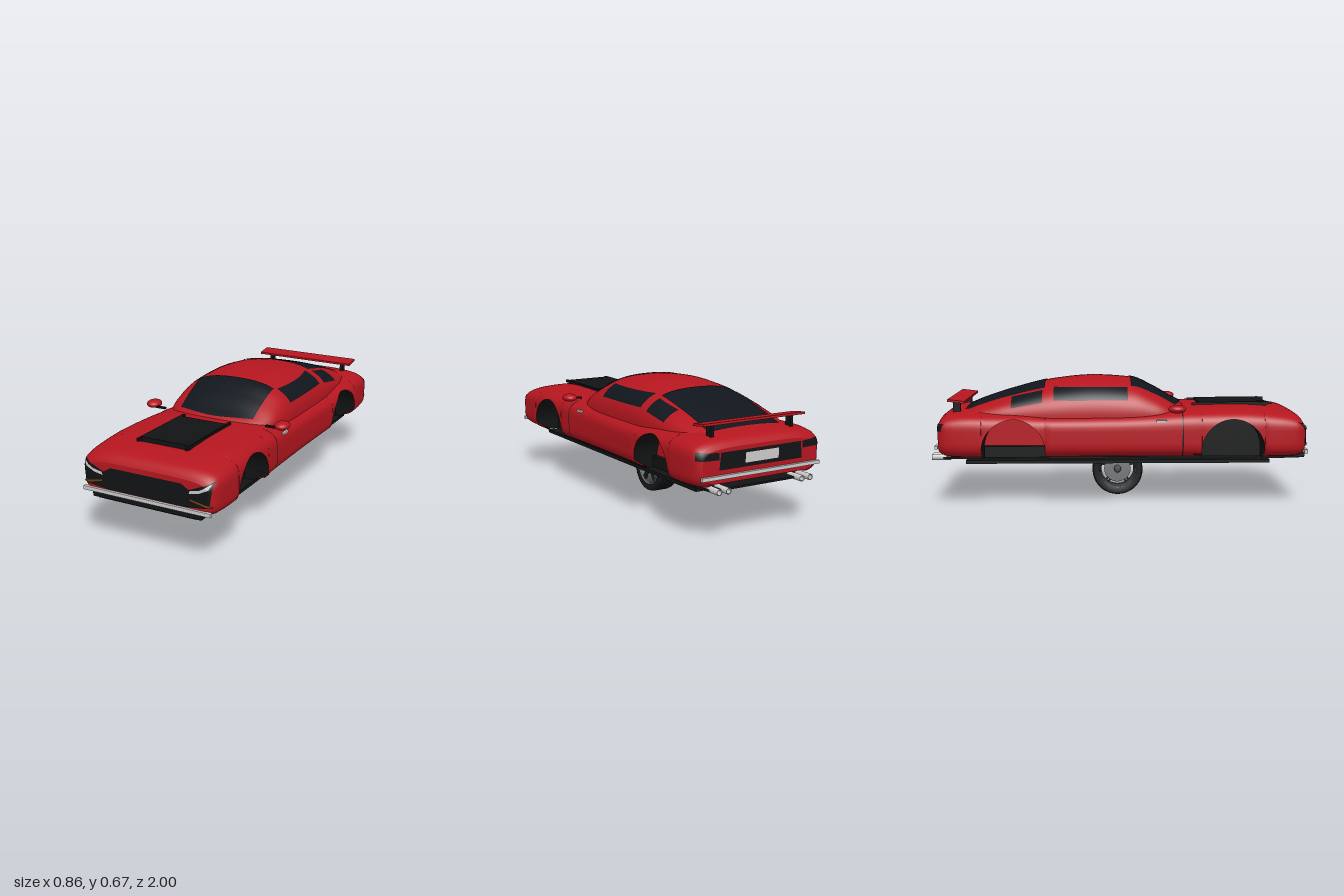
import * as THREE from 'three';

const RED = 0xb5161f, BLACK = 0x121314, GLASS = 0x10161c, CHROME = 0xcccccc, AMBER = 0x6b4310;
const mat = color => new THREE.MeshStandardMaterial({ color, side: THREE.DoubleSide });

// Rows: z, half width, top y, bottom y
const BODY = [
  [-0.958, 0.34, 0.455, 0.275], [-0.945, 0.36, 0.475, 0.265], [-0.91, 0.377, 0.495, 0.255],
  [-0.8, 0.386, 0.507, 0.25], [-0.56, 0.39, 0.503, 0.25], [-0.35, 0.38, 0.492, 0.25],
  [0, 0.376, 0.496, 0.25], [0.3, 0.378, 0.512, 0.25], [0.45, 0.384, 0.52, 0.25],
  [0.65, 0.39, 0.523, 0.25], [0.85, 0.388, 0.508, 0.25], [0.94, 0.38, 0.49, 0.253],
  [0.972, 0.365, 0.468, 0.262], [0.986, 0.345, 0.445, 0.272]];
// Rows: z, half width, top y
const CABIN = [
  [-0.84, 0.27, 0.505], [-0.75, 0.3, 0.542], [-0.6, 0.325, 0.592], [-0.34, 0.335, 0.655],
  [-0.14, 0.335, 0.673], [0.07, 0.335, 0.66], [0.2, 0.325, 0.605], [0.3, 0.285, 0.547],
  [0.345, 0.24, 0.524], [0.37, 0.2, 0.5]];
const SHOULDER = 0.38, BELT = 0.46, ARCHES = [0.6, -0.56], ARCH_R = 0.166, WELL_X = 0.24;

// Smooth monotone interpolation through column k of a table
function at(t, z, k) {
  const n = t.length - 1;
  z = THREE.MathUtils.clamp(z, t[0][0], t[n][0]);
  let i = 0;
  while (i < n - 1 && z > t[i + 1][0]) i++;
  const slope = j => (t[j + 1][k] - t[j][k]) / (t[j + 1][0] - t[j][0]);
  const tangent = j => {
    if (j === 0) return slope(0);
    if (j === n) return slope(n - 1);
    const a = slope(j - 1), b = slope(j);
    return a * b <= 0 ? 0 : 2 * a * b / (a + b);
  };
  const h = t[i + 1][0] - t[i][0], u = (z - t[i][0]) / h, u2 = u * u, u3 = u2 * u;
  return (2 * u3 - 3 * u2 + 1) * t[i][k] + (3 * u2 - 2 * u3) * t[i + 1][k]
    + h * ((u3 - 2 * u2 + u) * tangent(i) + (u3 - u2) * tangent(i + 1));
}

// Body and cabin surfaces as superellipse sections
const side = (y, z) => {
  const up = y > SHOULDER, n = up ? 4 : 5;
  const r = Math.abs(y - SHOULDER) / Math.abs(at(BODY, z, up ? 2 : 3) - SHOULDER);
  return r >= 1 ? 0 : at(BODY, z, 1) * (1 - r ** n) ** (1 / n);
};
const crown = (x, z, table, k, base, n) => {
  const r = Math.abs(x) / at(table, z, k);
  return r >= 1 ? base : base + (at(table, z, k + 1) - base) * (1 - r ** n) ** (1 / n);
};
const bodyY = (x, z) => crown(x, z, BODY, 1, SHOULDER, 4);
const cabinY = (x, z) => crown(x, z, CABIN, 1, BELT, 2.5);
const cabinX = (y, z) => {
  const r = (y - BELT) / (at(CABIN, z, 2) - BELT);
  return r >= 1 ? 0 : at(CABIN, z, 1) * (1 - r ** 2.5) ** 0.4;
};
// Depth of the nose (s = 1) or tail (s = -1) at x, y
function endZ(x, y, s) {
  let lo = s * 0.75, hi = s > 0 ? 0.986 : -0.958;
  if (side(y, hi) >= Math.abs(x)) return hi;
  for (let i = 0; i < 24; i++) {
    const m = (lo + hi) / 2;
    if (side(y, m) >= Math.abs(x)) lo = m; else hi = m;
  }
  return lo;
}
const archY = (z, c) => 0.3 + 0.165 * Math.sqrt(Math.max(0, 1 - ((z - c) / ARCH_R) ** 2));
const archAt = z => ARCHES.find(c => Math.abs(z - c) <= ARCH_R);

// Surface through rows of [x, y, z] points
function lattice(rows) {
  const w = rows[0].length, idx = [];
  for (let i = 0; i < rows.length - 1; i++) for (let j = 0; j < w - 1; j++) {
    const a = i * w + j, c = a + w;
    idx.push(a, c, a + 1, a + 1, c, c + 1);
  }
  const g = new THREE.BufferGeometry();
  g.setAttribute('position', new THREE.Float32BufferAttribute(rows.flat(2), 3));
  g.setIndex(idx);
  g.computeVertexNormals();
  return g;
}
function bodySection(z) {
  const c = archAt(z), W = at(BODY, z, 1), T = at(BODY, z, 2), B = at(BODY, z, 3);
  const y0 = c === undefined ? B + 0.01 : archY(z, c), n0 = y0 > SHOULDER ? 4 : 5;
  const h0 = y0 > SHOULDER ? T - SHOULDER : SHOULDER - B;
  const start = Math.sign(y0 - SHOULDER) * Math.asin((Math.abs(y0 - SHOULDER) / h0) ** (n0 / 2));
  const half = [];
  for (let i = 0; i <= 28; i++) {
    const p = start + (Math.PI / 2 - start) * i / 28, e = p > 0 ? 0.5 : 0.4, s = Math.sin(p);
    half.push([W * Math.max(0, Math.cos(p)) ** e,
      SHOULDER + Math.sign(s) * Math.abs(s) ** e * (p > 0 ? T - SHOULDER : SHOULDER - B), z]);
  }
  return [...half.map(([x, y]) => [-x, y, z]), ...half.slice(0, -1).reverse()];
}

export function createModel() {
  const car = new THREE.Group();
  const add = (name, geo, color, x = 0, y = 0, z = 0, parent = car) => {
    const m = new THREE.Mesh(geo, mat(color));
    m.name = name;
    m.position.set(x, y, z);
    parent.add(m);
    return m;
  };
  const box = (name, color, w, h, d, x, y, z, parent) =>
    add(name, new THREE.BoxGeometry(w, h, d), color, x, y, z, parent);
  // Thin patch laid on a surface, from four corners and a projection
  const panel = (name, color, [a, b, c, d], map, n = 12) => {
    const rows = [], mix = THREE.MathUtils.lerp;
    for (let i = 0; i <= n; i++) {
      const row = [], v = i / n;
      for (let j = 0; j <= n; j++) {
        const u = j / n;
        row.push(map(mix(mix(a[0], b[0], u), mix(d[0], c[0], u), v), mix(mix(a[1], b[1], u), mix(d[1], c[1], u), v)));
      }
      rows.push(row);
    }
    return add(name, lattice(rows), color);
  };

  // Body shell with open wheel arches
  const zs = [-0.958, -0.953, -0.945, -0.93, 0.93, 0.945, 0.96, 0.972, 0.98, 0.986];
  for (let i = 0; i <= 46; i++) {
    const z = -0.91 + 1.82 * i / 46;
    if (archAt(z) === undefined) zs.push(z);
  }
  for (const c of ARCHES) {
    zs.push(c - ARCH_R - 0.0005, c + ARCH_R + 0.0005);
    for (let i = 0; i <= 28; i++) zs.push(c - (ARCH_R - 1e-6) * Math.cos(Math.PI * i / 28));
  }
  zs.sort((a, b) => a - b);
  const sections = zs.map(bodySection);
  add('bodyShell', lattice(sections), RED);
  for (const s of [sections[0], sections.at(-1)])
    add('bodyEnd', lattice([s, s.map(([x, , z]) => [x * 0.6, s[0][1], z])]), RED);

  // Floor with notches at the wheels, and the tray below it
  const edge = zs.map(z => [archAt(z) === undefined ? 0.8 * at(BODY, z, 1) : WELL_X, -z]);
  const outline = [...edge, ...edge.map(([x, z]) => [-x, z]).reverse()].map(p => new THREE.Vector2(...p));
  add('floor', new THREE.ExtrudeGeometry(new THREE.Shape(outline), { depth: 0.01, bevelEnabled: false })
    .rotateX(-Math.PI / 2), BLACK, 0, 0.249, 0);
  box('underTray', BLACK, 0.57, 0.018, 1.63, 0, 0.228, -0.005);
  box('trayMount', BLACK, 0.4, 0.03, 1.5, 0, 0.24, 0);

  // Cabin
  const cabinRows = [];
  for (let i = 0; i <= 50; i++) {
    const z = -0.84 + 1.21 * i / 50, row = [];
    for (let j = 0; j <= 40; j++) {
      const p = Math.PI * (1 - j / 40), c = Math.cos(p);
      row.push([Math.sign(c) * at(CABIN, z, 1) * Math.abs(c) ** 0.8,
        BELT + (at(CABIN, z, 2) - BELT) * Math.max(0, Math.sin(p)) ** 0.8, z]);
    }
    cabinRows.push(row);
  }
  add('cabin', lattice(cabinRows), RED);

  // Front and rear glass
  const onTop = (x, z) => [x, Math.max(cabinY(x, z), bodyY(x, z)) + 0.004, z];
  panel('windscreen', GLASS, [[-0.225, 0.065], [0.225, 0.065], [0.22, 0.345], [-0.22, 0.345]],
    (x, z) => onTop(x, z - 0.9 * x * x * Math.max(0, (z - 0.065) / 0.28)), 20);
  panel('rearWindow', GLASS, [[-0.215, -0.4], [0.215, -0.4], [0.215, -0.825], [-0.215, -0.825]], onTop, 20);

  // Nose and tail trim follow the rounded ends
  const onEnd = (s, off) => (x, y) => [x, y, endZ(x, y, s) + s * off];
  panel('grille', BLACK, [[-0.2, 0.42], [0.2, 0.42], [0.21, 0.305], [-0.21, 0.305]], onEnd(1, 0.004));
  panel('tailPanel', BLACK, [[-0.24, 0.435], [0.24, 0.435], [0.25, 0.35], [-0.25, 0.35]], onEnd(-1, 0.003));
  panel('numberPlate', CHROME, [[-0.1, 0.42], [0.1, 0.42], [0.1, 0.37], [-0.1, 0.37]], onEnd(-1, 0.007));

  for (const s of [1, -1]) {
    const flip = pts => pts.map(([x, y]) => [s * x, y]);
    const onSide = (z, y) => [s * (cabinX(y, z) + 0.004), y, z];
    const onBody = (z, y) => [s * (side(y, z) + 0.002), y, z];

    // Side glass, door seam and handle
    panel('doorWindow', GLASS, [[0.045, 0.626], [-0.35, 0.626], [-0.35, 0.56], [0.045, 0.56]], onSide);
    panel('quarterWindow', GLASS, [[-0.41, 0.61], [-0.575, 0.575], [-0.575, 0.52], [-0.41, 0.55]], onSide);
    panel('doorSeam', BLACK, [[0.337, 0.5], [0.331, 0.5], [0.331, 0.262], [0.337, 0.262]], onBody, 24);
    box('doorHandle', CHROME, 0.012, 0.012, 0.055, s * (side(0.455, 0.22) + 0.004), 0.455, 0.22);

    // Headlamps
    panel('grilleCorner', BLACK, flip([[0.2, 0.42], [0.25, 0.39], [0.25, 0.33], [0.21, 0.305]]), onEnd(1, 0.004));
    panel('headlampPanel', BLACK, flip([[0.368, 0.448], [0.24, 0.395], [0.21, 0.305], [0.35, 0.32]]), onEnd(1, 0.005));
    panel('headlampStrip', CHROME, flip([[0.36, 0.44], [0.3, 0.404], [0.295, 0.387], [0.35, 0.415]]), onEnd(1, 0.009));
    panel('headlampStrip', CHROME, flip([[0.3, 0.404], [0.25, 0.394], [0.245, 0.378], [0.295, 0.387]]), onEnd(1, 0.009));
    panel('indicator', AMBER, flip([[0.365, 0.332], [0.25, 0.352], [0.25, 0.344], [0.365, 0.32]]), onEnd(1, 0.009));
    panel('tailLamp', BLACK, flip([[0.25, 0.435], [0.365, 0.445], [0.37, 0.405], [0.25, 0.4]]), onEnd(-1, 0.004));

    // Wheel wells
    ARCHES.forEach((c, k) => {
      const roof = [], wall = [];
      for (let i = 0; i <= 28; i++) {
        const z = c - ARCH_R * Math.cos(Math.PI * i / 28), y = archY(z, c);
        roof.push([[s * side(y, z), y, z], [s * WELL_X, y, z]]);
        wall.push([[s * WELL_X, y, z], [s * WELL_X, 0.25, z]]);
      }
      for (const e of [-1, 1]) {
        const z = c + e * ARCH_R;
        roof[e < 0 ? 'unshift' : 'push']([[s * side(0.26, z), 0.26, z], [s * WELL_X, 0.25, z]]);
      }
      add('wheelWell', lattice(roof), BLACK);
      add('wellWall', lattice(wall), k ? RED : BLACK);
    });
    box('rearWellSill', BLACK, 0.03, 0.06, 0.325, s * 0.25, 0.28, -0.56);
    box('archFlap', BLACK, 0.04, 0.03, 0.045, s * 0.34, 0.29, 0.413);

    // Mirrors
    add('mirror', new THREE.SphereGeometry(1, 24, 16).scale(0.04, 0.022, 0.047), RED, s * 0.39, 0.522, 0.3);
    box('mirrorStalk', BLACK, 0.06, 0.01, 0.014, s * 0.335, 0.513, 0.322);

    // Bonnet rails, spoiler posts and exhausts
    box('bonnetRail', BLACK, 0.014, 0.014, 0.44, s * 0.138, 0.525, 0.62).rotation.x = -0.01;
    box('spoilerPost', BLACK, 0.016, 0.06, 0.04, s * 0.24, 0.525, -0.868);
    for (const x of [0.222, 0.275])
      add('exhaust', new THREE.LatheGeometry([[0.012, -0.05], [0.016, -0.05], [0.016, 0.05], [0.012, 0.05], [0.012, -0.05]]
        .map(p => new THREE.Vector2(...p)), 20).rotateX(Math.PI / 2), CHROME, s * x, 0.256, -0.95);
  }

  // Bonnet panel, bumpers, splitter and spoiler
  box('bonnetPanel', BLACK, 0.28, 0.03, 0.37, 0, 0.519, 0.625).rotation.x = -0.01;
  box('bonnetScoopLip', BLACK, 0.22, 0.02, 0.04, 0, 0.526, 0.78);
  box('frontBumper', CHROME, 0.725, 0.02, 0.018, 0, 0.291, 0.991);
  box('frontSplitter', BLACK, 0.62, 0.024, 0.06, 0, 0.266, 0.962);
  box('rearBumper', CHROME, 0.71, 0.018, 0.016, 0, 0.318, -0.966);
  box('spoiler', RED, 0.61, 0.012, 0.09, 0, 0.556, -0.865).rotation.x = 0.12;

  // Spare wheel under the floor, facing +x
  const wheel = new THREE.Group();
  wheel.name = 'wheel';
  wheel.position.set(0, 0.141, -0.003);
  car.add(wheel);
  const spin = pts => new THREE.LatheGeometry(pts.map(p => new THREE.Vector2(...p)), 48).rotateZ(-Math.PI / 2);
  const tread = [];
  for (const x of [-0.034, -0.011, 0.011, 0.034])
    tread.push([0.141, x - 0.003], [0.135, x - 0.002], [0.135, x + 0.002], [0.141, x + 0.003]);
  add('tyre', spin([[0.1, -0.054], [0.125, -0.06], [0.136, -0.056], ...tread,
    [0.136, 0.056], [0.125, 0.06], [0.1, 0.054]]), 0x17181a, 0, 0, 0, wheel);
  add('rim', spin([[0.102, -0.054], [0.094, -0.05], [0.09, 0], [0.094, 0.05], [0.102, 0.055]]), 0x3a3c3e, 0, 0, 0, wheel);
  add('rimLip', new THREE.TorusGeometry(0.098, 0.003, 8, 48).rotateY(Math.PI / 2), CHROME, 0.054, 0, 0, wheel);
  add('brakeDisc', spin([[0, -0.004], [0.075, -0.004], [0.075, 0.004], [0, 0.004]]), 0x77797b, 0, 0, 0, wheel);
  add('hub', spin([[0, -0.02], [0.02, -0.02], [0.02, 0.045], [0.012, 0.05], [0, 0.05]]), 0x55585a, 0, 0, 0, wheel);
  box('brakeCaliper', 0xd8b010, 0.03, 0.035, 0.055, 0.012, 0.062, -0.036, wheel).rotation.x = -0.53;
  for (let i = 0; i < 5; i++) for (const e of [-0.1, 0.1]) {
    const arm = new THREE.BoxGeometry(0.01, 0.082, 0.01).translate(0.043, 0.056, 0).rotateX(i * Math.PI * 0.4 + e);
    add('spoke', arm, 0x2a2c2e, 0, 0, 0, wheel);
  }
  return car;
}
